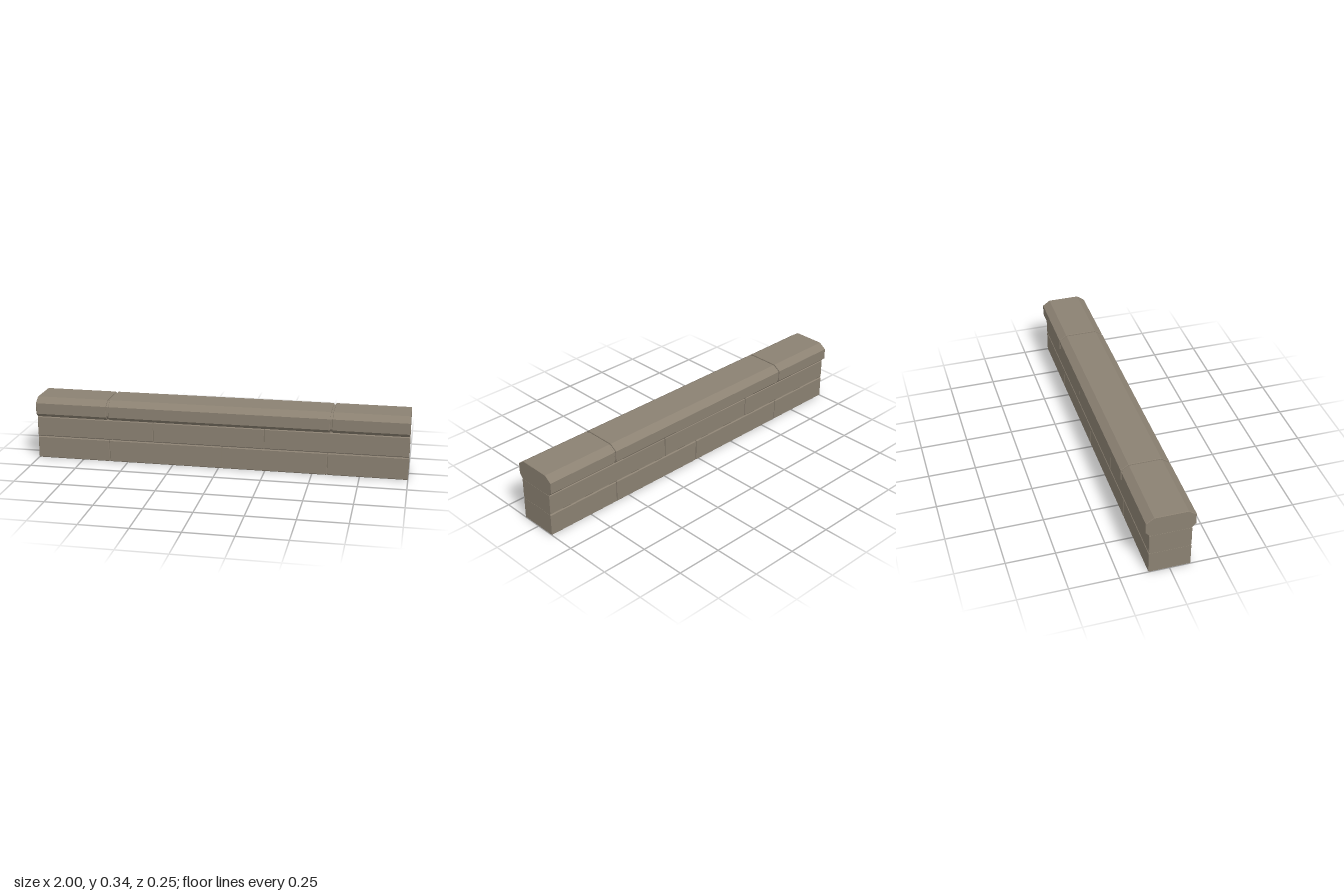
import * as THREE from 'three';

const BEVEL = 0.004;

// Half profiles as [half depth, height], listed from bottom to top
const course = (y0, y1, h) => [
  [h - BEVEL, y0], [h, y0 + BEVEL], [h, y1 - BEVEL], [h - BEVEL, y1],
];
const LOWER = course(0, 0.12, 0.107);
const UPPER = course(0.123, 0.233, 0.107);
const CAP = [[0.105, 0.234], [0.125, 0.253], [0.125, 0.312], [0.085, 0.34]];
const CORE = [[0.1, 0.001], [0.1, 0.238], [0.117, 0.256], [0.117, 0.309], [0.081, 0.333]];

// Mirrors a half profile and extrudes it along x, with worn ends
function prism(half, x0, x1, bevel) {
  const points = [...half, ...half.map(([z, y]) => [-z, y]).reverse()];
  const shape = new THREE.Shape(points.map(([z, y]) => new THREE.Vector2(z, y)));
  const geometry = new THREE.ExtrudeGeometry(shape, {
    depth: x1 - x0 - 2 * bevel,
    bevelEnabled: bevel > 0,
    bevelSize: bevel,
    bevelThickness: bevel,
    bevelOffset: -bevel,
    bevelSegments: 1,
  });
  geometry.translate(0, 0, x0 + bevel);
  geometry.rotateY(Math.PI / 2);
  return geometry;
}

export function createModel() {
  const wall = new THREE.Group();
  wall.name = 'stoneWall';
  const stone = new THREE.MeshStandardMaterial({ color: 0x8b8172 });
  stone.name = 'stone';

  const add = (name, geometry, parent = wall) => {
    const mesh = new THREE.Mesh(geometry, stone);
    mesh.name = name;
    parent.add(mesh);
  };

  // Mortar core closes the joints and the wall ends
  add('mortarCore', prism(CORE, -0.9995, 0.9995, 0));

  // Rows of stones, split at the joints
  const rows = [
    ['lowerStone', LOWER, [-0.6, 0.02, 0.58], 0.004],
    ['upperStone', UPPER, [-0.355, 0.245], 0.004],
    ['capStone', CAP, [-0.603, 0.597], 0.012],
  ];
  for (const [name, profile, joints, gap] of rows) {
    const row = new THREE.Group();
    row.name = name + 'Row';
    const ends = [-1, ...joints, 1];
    for (let i = 0; i < ends.length - 1; i++) {
      const x0 = ends[i] + (i > 0 ? gap / 2 : 0);
      const x1 = ends[i + 1] - (i < joints.length ? gap / 2 : 0);
      add(name, prism(profile, x0, x1, 0.002), row);
    }
    wall.add(row);
  }
  return wall;
}
